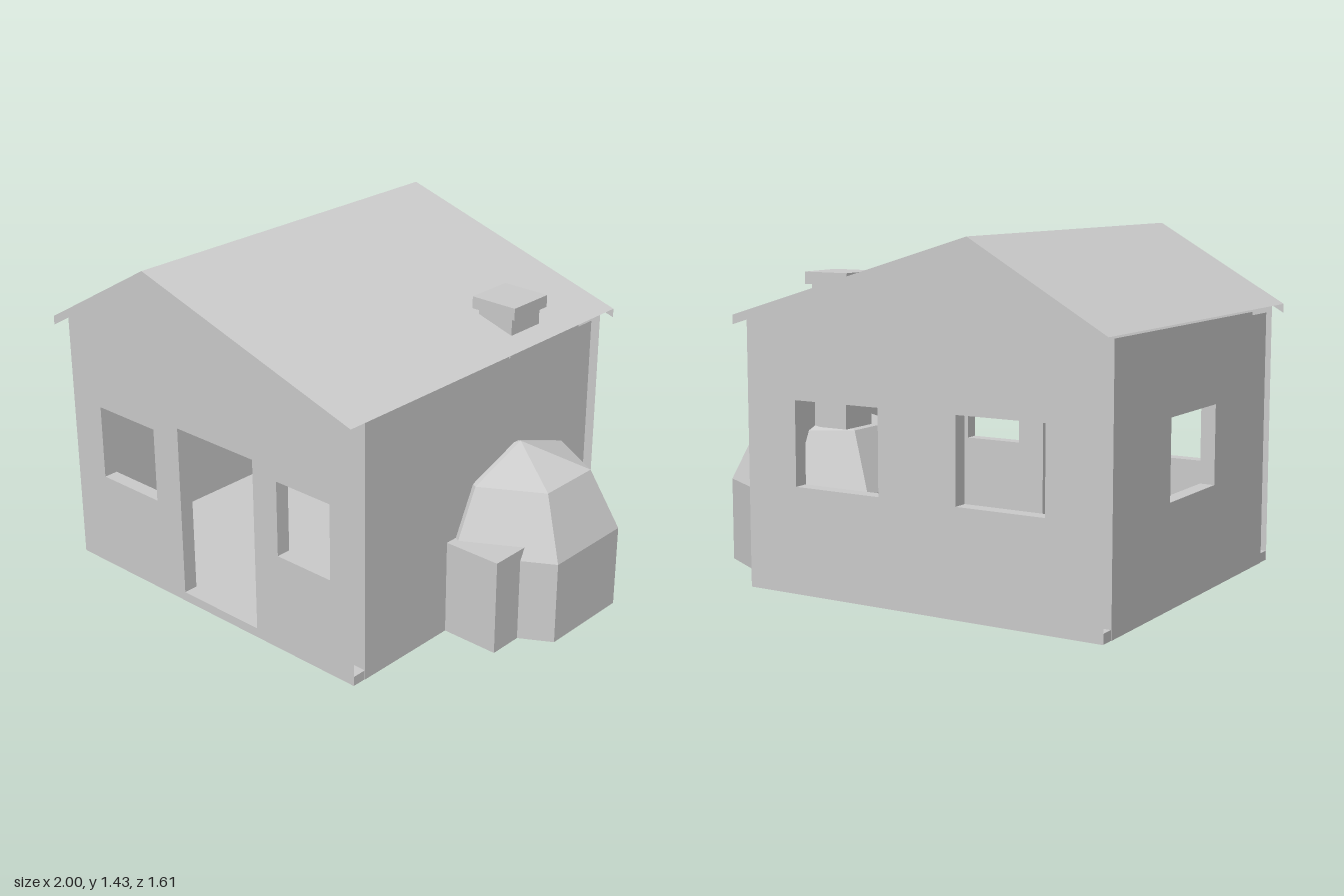
import * as THREE from 'three';

export function createModel() {
  const house = new THREE.Group();
  house.name = 'house';
  // Walls, roof and oven are open skins, so both sides show
  const plaster = new THREE.MeshStandardMaterial({ color: 0xcccccc, side: THREE.DoubleSide });
  plaster.name = 'light grey plaster';

  const T = 0.062; // wall thickness
  const W = { l: -0.967, r: 0.623, z: 0.757 };
  const ridgeX = -0.428;

  function add(parent, name, geometry, x = 0, y = 0, z = 0) {
    const mesh = new THREE.Mesh(geometry, plaster);
    mesh.name = name;
    mesh.position.set(x, y, z);
    parent.add(mesh);
  }

  function box(name, x0, x1, y0, y1, z0, z1) {
    add(house, name, new THREE.BoxGeometry(x1 - x0, y1 - y0, z1 - z0),
      (x0 + x1) / 2, (y0 + y1) / 2, (z0 + z1) / 2);
  }

  // Flat strip swept along z; its face looks to the right of the point order
  function ribbon(points, z0, z1) {
    const pos = [];
    for (let i = 0; i + 1 < points.length; i++) {
      const [px, py] = points[i], [qx, qy] = points[i + 1];
      pos.push(px, py, z0, qx, qy, z0, qx, qy, z1, px, py, z0, qx, qy, z1, px, py, z1);
    }
    const g = new THREE.BufferGeometry();
    g.setAttribute('position', new THREE.Float32BufferAttribute(pos, 3));
    g.computeVertexNormals();
    return g;
  }

  function toVectors(points) {
    return points.map(([x, y]) => new THREE.Vector2(x, y));
  }

  // Wall with an outer skin, an inner skin and lined openings [x0, x1, y0, y1]
  function wall(name, outline, openings) {
    const group = new THREE.Group();
    group.name = name;
    const shape = new THREE.Shape(toVectors(outline));
    for (const [x0, x1, y0, y1] of openings) {
      const loop = [[x0, y0], [x0, y1], [x1, y1], [x1, y0], [x0, y0]];
      shape.holes.push(new THREE.Path(toVectors(loop)));
      add(group, 'openingLining', ribbon(loop, -T, 0));
    }
    const skin = new THREE.ShapeGeometry(shape);
    add(group, 'outerSkin', skin);
    add(group, 'innerSkin', skin, 0, 0, -T);
    house.add(group);
    return group;
  }

  // Floor slab
  box('floor', W.l + 0.002, W.r - 0.002, 0, 0.04, -W.z + 0.002, W.z - 0.002);

  // Gable walls reach up to the roof: door and two windows in front, two windows behind
  const gable = [[W.l, 0], [W.r, 0], [W.r, 1.106], [ridgeX, 1.425], [W.l, 1.114]];
  wall('frontWall', gable, [
    [-0.797, -0.468, 0.415, 0.735], [-0.323, 0.10, 0.04, 0.785], [0.227, 0.503, 0.415, 0.735],
  ]).position.z = W.z;

  const backGable = gable.map(([x, y]) => [-x, y]).reverse();
  const back = wall('backWall', backGable, [[0.35, 0.728, 0.432, 0.775], [-0.39, 0.002, 0.432, 0.775]]);
  back.rotation.y = Math.PI;
  back.position.z = -W.z;

  // Side walls stop short of the gable walls' outer faces
  const d = W.z - T;
  const side = [[-d, 0], [d, 0], [d, 1.07], [-d, 1.07]];
  const left = wall('leftSideWall', side, []);
  left.rotation.y = Math.PI / 2;
  left.position.x = W.r;
  const right = wall('rightSideWall', side, [[-0.22, 0.19, 0.42, 0.745]]);
  right.rotation.y = -Math.PI / 2;
  right.position.x = W.l;

  // Roof: two slopes with a board along each gable edge, open at the eaves
  const roof = new THREE.Group();
  roof.name = 'roof';
  house.add(roof);
  const R = 0.805;
  const top = [[0.655, 1.10], [ridgeX, 1.43], [-1, 1.10]];
  const boardBottom = [[-1, 1.062], [ridgeX, 1.395], [0.655, 1.062]];
  const board = new THREE.ShapeGeometry(new THREE.Shape(toVectors([...top, ...boardBottom])));
  add(roof, 'roofSlopes', ribbon(top, -R, R));
  add(roof, 'frontGableBoard', board, 0, 0, R);
  add(roof, 'backGableBoard', board, 0, 0, -R);

  // Chimney running up from the oven through the roof
  box('chimneyShaft', 0.403, 0.568, 0.61, 1.20, -0.404, -0.225);
  box('chimneyCap', 0.381, 0.591, 1.20, 1.25, -0.42, -0.21);

  // Six-sided domed oven, half inside the house and open below
  const profile = toVectors([[0.41, 0], [0.41, 0.35], [0.285, 0.60], [0, 0.70]]);
  const dome = new THREE.LatheGeometry(profile, 6).toNonIndexed();
  dome.computeVertexNormals();
  add(house, 'ovenDome', dome, 0.645, 0, -0.21);

  // Low block beside the oven
  box('ovenBlock', 0.60, 0.872, 0, 0.40, 0.045, 0.217);

  return house;
}
